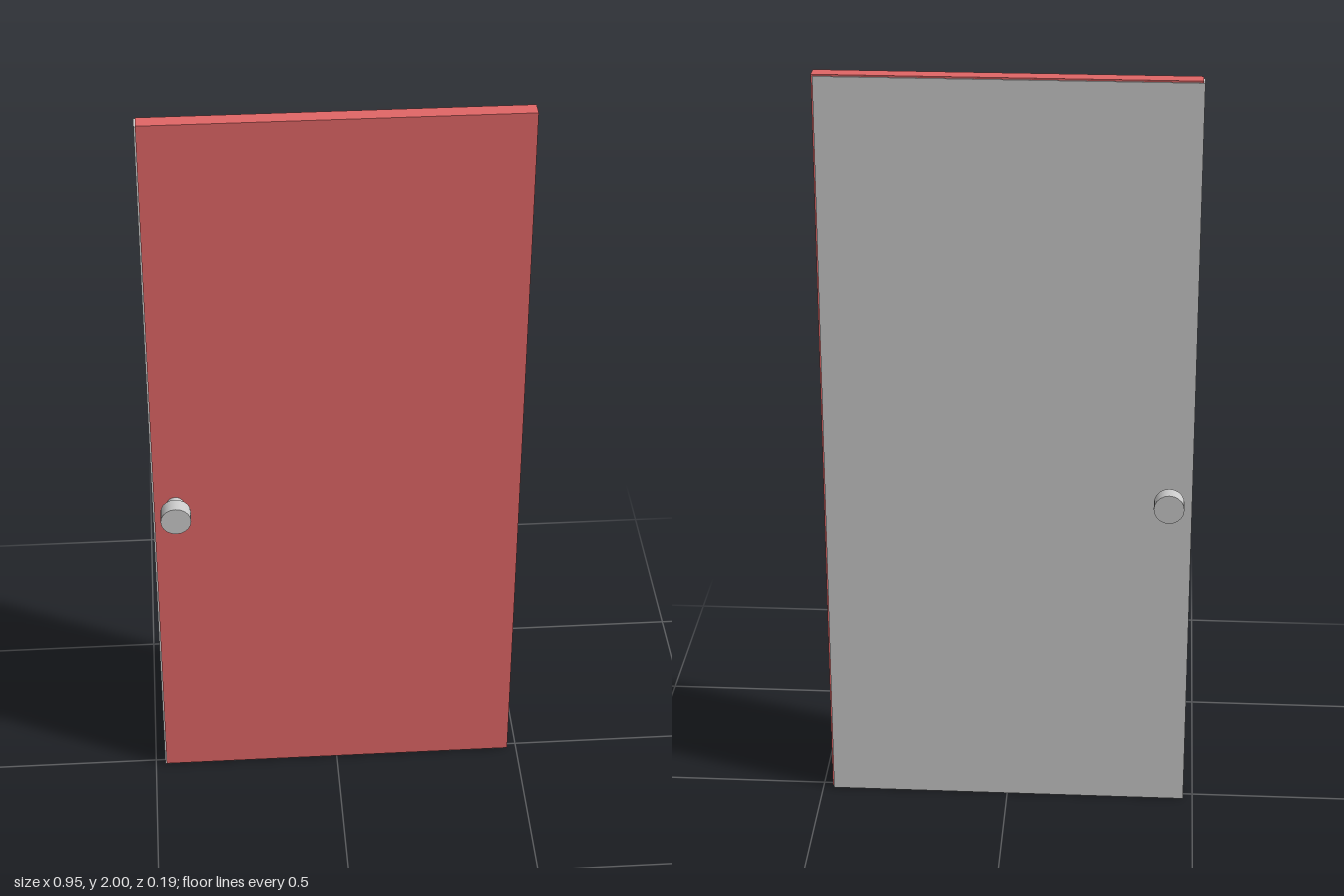
import * as THREE from 'three';

export function createModel() {
  const group = new THREE.Group();
  const grey = new THREE.MeshStandardMaterial({ color: 0xcccccc });
  const red = new THREE.MeshStandardMaterial({ color: 0xe06666 });

  const add = (name, geometry, material, x, y, z) => {
    const mesh = new THREE.Mesh(geometry, material);
    mesh.name = name;
    mesh.position.set(x, y, z);
    group.add(mesh);
    return mesh;
  };

  // Two nearly coincident panels: red shows on front, top and +x side,
  // grey on the back, bottom and -x side.
  const shift = 0.002;
  const slab = new THREE.BoxGeometry(0.946, 1.996, 0.041);
  add('redPanel', slab, red, shift, 1 + shift, -0.002 + shift);
  add('greyPanel', slab, grey, -shift, 1 - shift, -0.002 - shift);

  // Matching knob and neck on each face
  const neck = new THREE.CylinderGeometry(0.023, 0.023, 0.05, 20).rotateX(Math.PI / 2);
  const knob = new THREE.CylinderGeometry(0.039, 0.039, 0.042, 20).rotateX(Math.PI / 2);
  for (const [side, s] of [['front', 1], ['back', -1]]) {
    add(side + 'KnobNeck', neck, grey, -0.416, 0.896, s * 0.028);
    add(side + 'Knob', knob, grey, -0.416, 0.896, s * 0.073);
  }
  return group;
}
